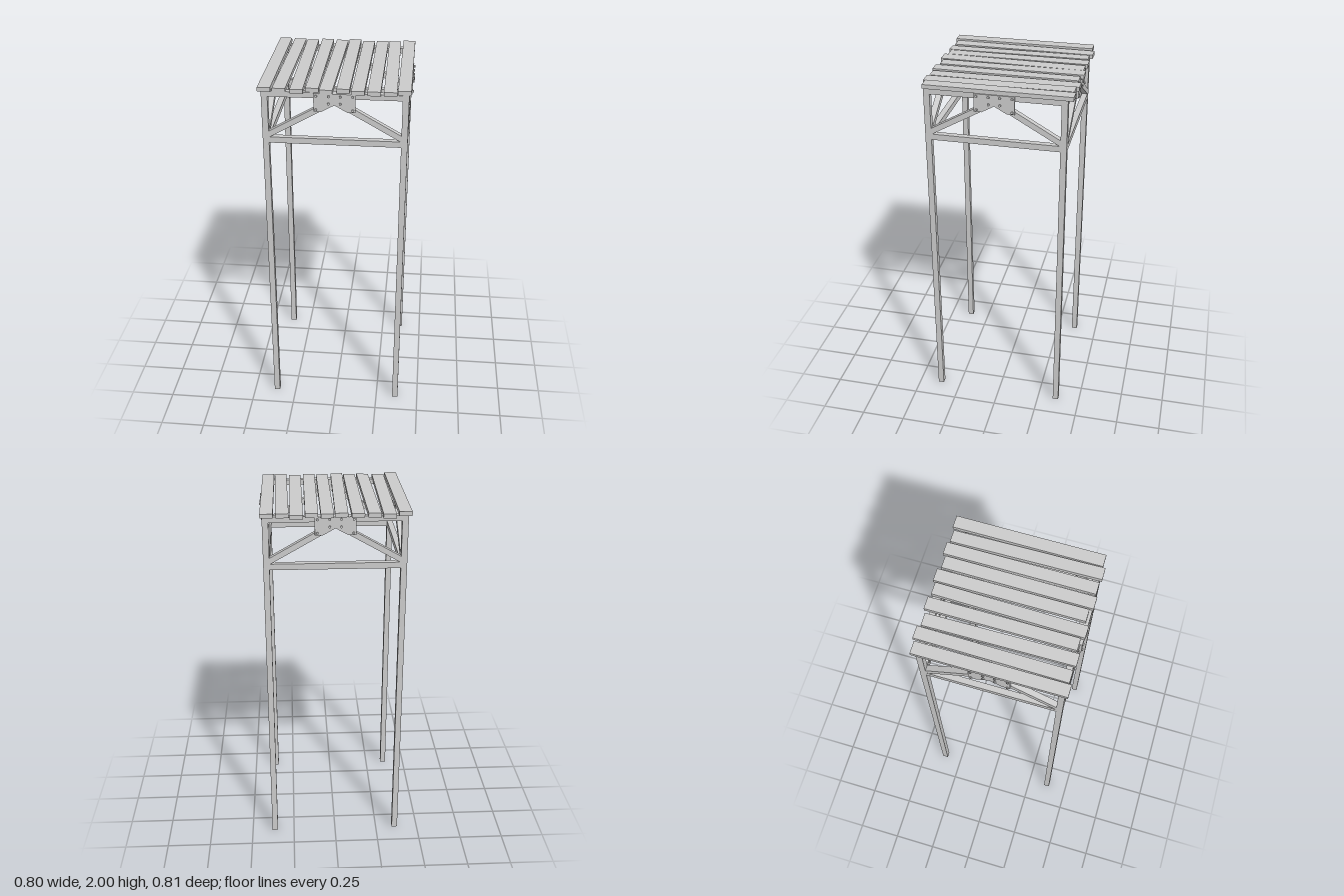
import * as THREE from 'three';

const mat = new THREE.MeshStandardMaterial({ color: 0xcccccc, flatShading: true });

function add(parent, name, geo, x = 0, y = 0, z = 0) {
  const m = new THREE.Mesh(geo, mat);
  m.name = name;
  m.position.set(x, y, z);
  parent.add(m);
  return m;
}

// Flat outline extruded along z from z0 by the given depth
function slab(points, z0, depth) {
  const shape = new THREE.Shape(points.map(([x, y]) => new THREE.Vector2(x, y)));
  return new THREE.ExtrudeGeometry(shape, { depth, bevelEnabled: false }).translate(0, 0, z0);
}

const T = 0.033;        // timber thickness
const OUT = 0.381;      // outer face of the frame
const IN = OUT - T;     // inner face of the legs
const MID = OUT - T / 2;

// One side of the frame, facing +z: rails, braces, gusset plate and bolts
function makeSide() {
  const side = new THREE.Group();
  side.name = 'frameSide';
  add(side, 'topRail', new THREE.BoxGeometry(2 * IN, 0.03, T), 0, 1.96, MID);
  add(side, 'lowerRail', new THREE.BoxGeometry(2 * IN, 0.033, T), 0, 1.702, MID);

  for (const s of [1, -1]) {
    const pts = [[s * IN, 1.716], [s * IN, 1.751], [0, 1.949], [0, 1.914]];
    add(side, 'brace', slab(pts, IN, T));
  }

  // plate with a notch that follows the braces
  add(side, 'gussetPlate', slab([
    [-0.108, 1.975], [-0.108, 1.876], [-0.068, 1.876], [0, 1.914],
    [0.068, 1.876], [0.108, 1.876], [0.108, 1.975],
  ], OUT, 0.012));

  const bolt = new THREE.CylinderGeometry(0.007, 0.007, 0.014, 6).rotateX(Math.PI / 2);
  for (const [x, y] of [[0.095, 1.962], [0.03, 1.962], [0.095, 1.888], [0.03, 1.922]]) {
    for (const s of [1, -1]) add(side, 'bolt', bolt, s * x, y, OUT + 0.012);
  }
  return side;
}

export function createModel() {
  const model = new THREE.Group();
  model.name = 'timberTower';

  const frame = new THREE.Group();
  frame.name = 'frame';
  frame.position.z = 0.006;
  model.add(frame);

  for (const sx of [1, -1]) for (const sz of [1, -1]) {
    add(frame, 'leg', new THREE.BoxGeometry(T, 1.975, T), sx * MID, 0.9875, sz * MID);
  }
  for (let i = 0; i < 4; i++) {
    const side = makeSide();
    side.rotation.y = i * Math.PI / 2;
    frame.add(side);
  }

  // Loose deck boards: centre x at back and front, z at back and front, top height, roll
  const boards = [
    [-0.363, -0.363, -0.394, 0.404, 2.0, 0],
    [-0.280, -0.288, -0.408, 0.391, 1.993, 0],
    [-0.204, -0.196, -0.391, 0.400, 1.994, 0.03],
    [-0.117, -0.117, -0.404, 0.383, 1.997, 0],
    [-0.031, -0.044, -0.394, 0.404, 1.997, -0.03],
    [0.043, 0.043, -0.408, 0.384, 1.998, 0],
    [0.124, 0.120, -0.391, 0.404, 1.996, 0.02],
    [0.202, 0.202, -0.408, 0.395, 1.993, 0],
    [0.275, 0.286, -0.394, 0.404, 1.997, -0.02],
    [0.357, 0.357, -0.405, 0.390, 2.0, 0],
  ];
  const deck = new THREE.Group();
  deck.name = 'deck';
  model.add(deck);
  for (const [xb, xf, zb, zf, top, roll] of boards) {
    const b = add(deck, 'deckBoard', new THREE.BoxGeometry(0.068, 0.023, zf - zb),
      (xb + xf) / 2, top - 0.0115, (zb + zf) / 2);
    b.rotation.set(0, Math.atan2(xf - xb, zf - zb), roll);
  }
  return model;
}
